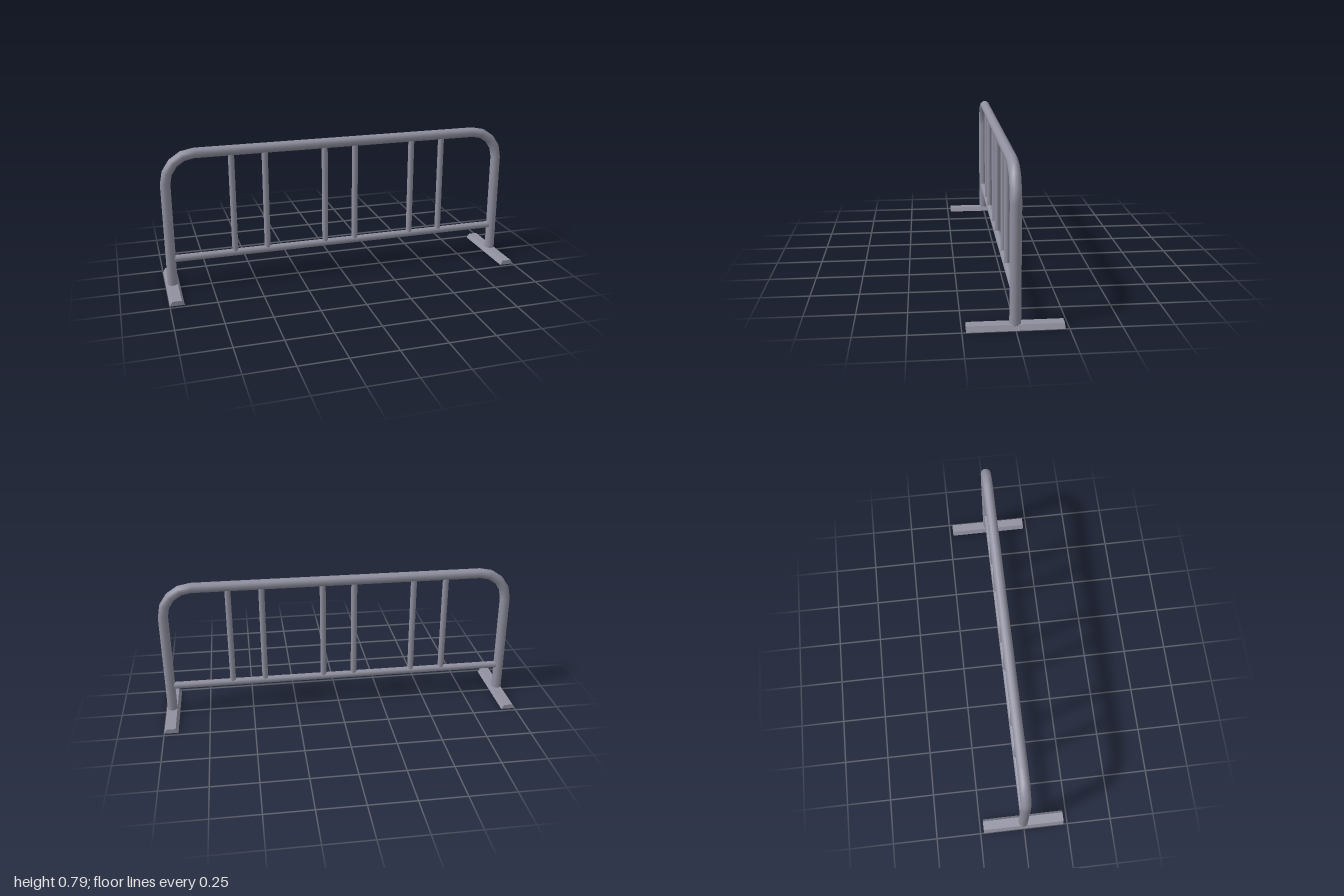
import * as THREE from 'three';

const material = new THREE.MeshStandardMaterial({ color: 0x9090a0 });
const SIDES = 10;

export function createModel() {
  const group = new THREE.Group();
  const add = (name, geometry, x, y) => {
    const mesh = new THREE.Mesh(geometry, material);
    mesh.name = name;
    mesh.position.set(x, y, 0);
    group.add(mesh);
  };
  const upright = (name, r, x, y0, y1) =>
    add(name, new THREE.CylinderGeometry(r, r, y1 - y0, SIDES), x, (y0 + y1) / 2);
  const rail = (name, r, halfLength, y, open) => {
    const geometry = new THREE.CylinderGeometry(r, r, halfLength * 2, SIDES, 1, open);
    add(name, geometry.rotateZ(Math.PI / 2), 0, y);
  };

  const tube = 0.028, legX = 0.963, topY = 0.76, bend = 0.16;

  // Top and bottom rails
  rail('topRail', tube, legX - bend, topY, true);
  rail('bottomRail', 0.02, 0.95, 0.173, false);

  // Foot: trapezoid section extruded front to back
  const section = new THREE.Shape([
    new THREE.Vector2(-0.039, 0), new THREE.Vector2(0.039, 0),
    new THREE.Vector2(0.025, 0.025), new THREE.Vector2(-0.025, 0.025),
  ]);
  const footGeometry = new THREE.ExtrudeGeometry(section, { depth: 0.46, bevelEnabled: false });
  footGeometry.translate(0, 0, -0.23);

  for (const [side, s] of [['left', 1], ['right', -1]]) {
    upright(side + 'Leg', tube, s * legX, 0.015, topY - bend);

    // Rounded corner joining leg and top rail
    const arc = new THREE.Curve();
    arc.getPoint = (t, target = new THREE.Vector3()) => {
      const angle = t * Math.PI / 2;
      return target.set(s * bend * Math.cos(angle), bend * Math.sin(angle), 0);
    };
    add(side + 'Corner', new THREE.TubeGeometry(arc, 4, tube, SIDES), s * (legX - bend), topY - bend);

    add(side + 'Foot', footGeometry, s * 0.961, 0);

    // Vertical bars, grouped in pairs
    for (const x of [0.088, 0.425, 0.608]) upright(side + 'Bar', 0.017, s * x, 0.173, 0.755);
  }
  return group;
}
